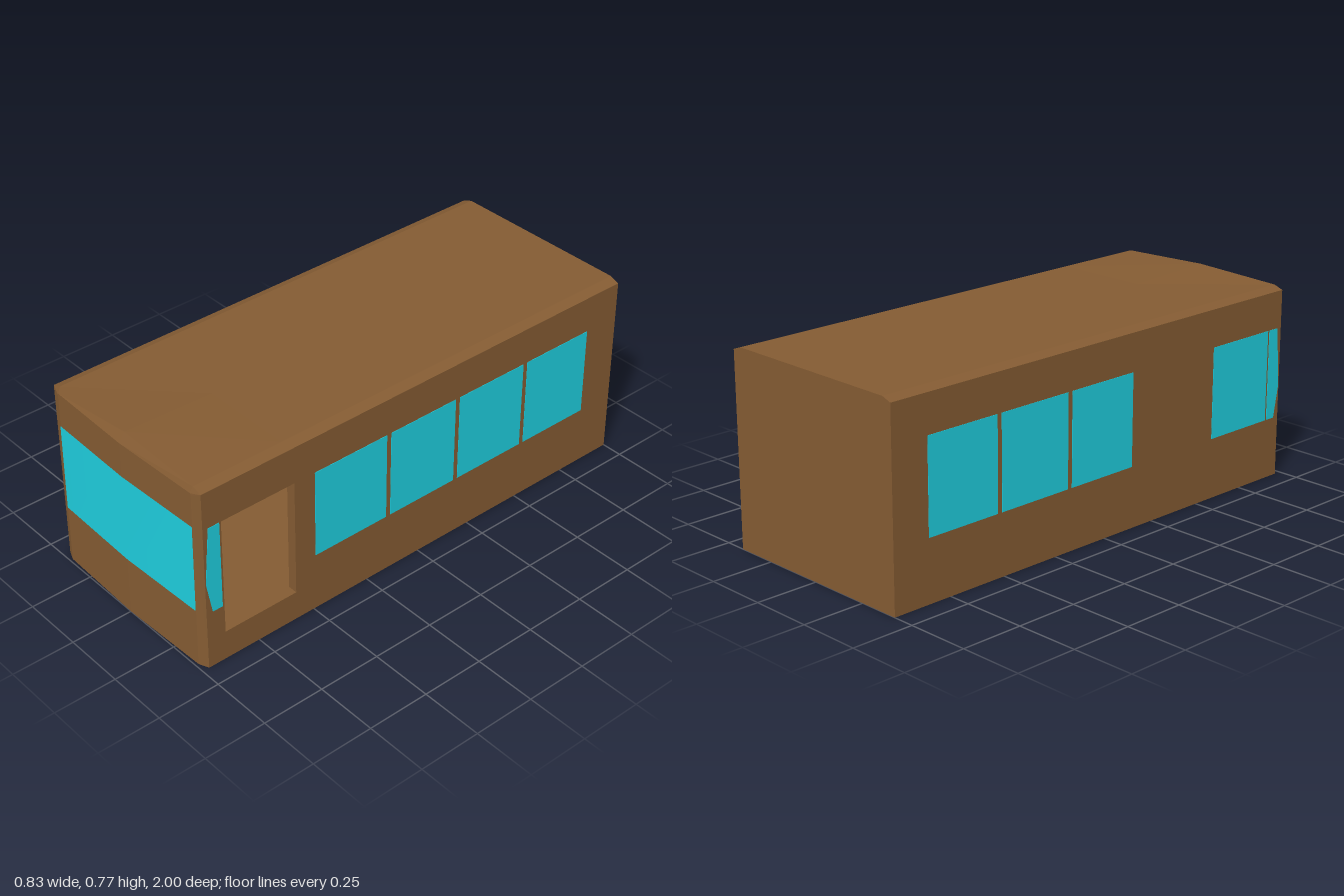
import * as THREE from 'three';

const body = new THREE.MeshStandardMaterial({ color: 0x855c33, flatShading: true });
const glass = new THREE.MeshStandardMaterial({ color: 0x1fd0e0, side: THREE.DoubleSide });
const fabric = new THREE.MeshStandardMaterial({ color: 0x1a90d8 });

const W = 0.415, IN = 0.376, WALL = W - IN, NOSE = 0.972; // half width, inner half width, nose start
const SILL = 0.24, HEAD = 0.6, FLOOR = 0.12, EAVE = 0.727;

// Front panel surface: a shallow V in plan, leaning back slightly
const frontZ = (x, y) => 1 - 0.012 * Math.abs(x) / IN - 0.005 * y / 0.738;

// Closed loft through rings of [x, y, z], each counter-clockwise seen from +z
function loft(rings) {
  const pos = [], n = rings[0].length;
  const tri = (...pts) => pts.forEach(p => pos.push(...p));
  for (let i = 0; i < rings.length - 1; i++) {
    for (let j = 0; j < n; j++) {
      const k = (j + 1) % n;
      const a = rings[i][j], b = rings[i][k], c = rings[i + 1][k], d = rings[i + 1][j];
      tri(a, b, c);
      tri(a, c, d);
    }
  }
  const first = rings[0], last = rings[rings.length - 1];
  for (let j = 1; j < n - 1; j++) {
    tri(first[0], first[j + 1], first[j]);
    tri(last[0], last[j], last[j + 1]);
  }
  const g = new THREE.BufferGeometry();
  g.setAttribute('position', new THREE.Float32BufferAttribute(pos, 3));
  g.computeVertexNormals();
  return g;
}

// Mirror a half outline: bottom centre, right side points, top centre
function ring(half, z) {
  const left = half.slice(1, -1).reverse().map(([x, y]) => [-x, y]);
  return [...half, ...left].map(([x, y]) => [x, y, typeof z === 'function' ? z(x, y) : z]);
}

function add(parent, name, geometry, material) {
  const mesh = new THREE.Mesh(geometry, material);
  mesh.name = name;
  parent.add(mesh);
  return mesh;
}

function box(parent, name, material, x0, x1, y0, y1, z0, z1) {
  const mesh = add(parent, name, new THREE.BoxGeometry(x1 - x0, y1 - y0, z1 - z0), material);
  mesh.position.set((x0 + x1) / 2, (y0 + y1) / 2, (z0 + z1) / 2);
  return mesh;
}

// Polygon drawn in (z, y), extruded through the thickness of a side wall
function sidePanel(parent, name, material, points, side, hole, swell = 0) {
  const shape = new THREE.Shape(points.map(p => new THREE.Vector2(...p)));
  if (hole) shape.holes.push(new THREE.Path(hole.map(p => new THREE.Vector2(...p))));
  const g = new THREE.ExtrudeGeometry(shape, { depth: WALL + 2 * swell, bevelEnabled: false });
  const mesh = add(parent, name, g, material);
  mesh.rotation.y = -Math.PI / 2;
  mesh.position.x = (side > 0 ? W : -IN) + swell;
}

const rect = (z0, z1, y0, y1) => [[z0, y0], [z1, y0], [z1, y1], [z0, y1]];

export function createModel() {
  const model = new THREE.Group();
  model.name = 'bus';

  // Floor and back wall
  box(model, 'floor', body, -IN, IN, 0, FLOOR, -1 + WALL, NOSE);
  box(model, 'backWall', body, -IN, IN, 0, EAVE, -1, -1 + WALL);

  // Side walls, with the doorway on the model's left (+x)
  const wall = rect(-1, NOSE, 0, EAVE);
  sidePanel(model, 'leftWall', body, wall, 1, rect(0.58, 0.895, FLOOR, HEAD));
  sidePanel(model, 'rightWall', body, wall, -1);

  // Side windows and pointed front quarter windows
  const panes = [[-0.845, -0.53], [-0.51, -0.19], [-0.17, 0.14], [0.16, 0.49], [0.58, 0.895]];
  for (const side of [1, -1]) {
    panes.forEach(([z0, z1], i) => {
      if (i === (side > 0 ? 4 : 3)) return;
      sidePanel(model, 'sideWindow', glass, rect(z0, z1, SILL, HEAD), side, null, 0.0015);
    });
    sidePanel(model, 'quarterWindow', glass,
      [[0.903, SILL], [0.945, SILL], [0.969, 0.37], [0.95, HEAD], [0.903, HEAD]], side, null, 0.0015);
  }

  // Roof with bevelled edges, its crown rising towards the front
  const roofRing = (z, crown) => ring([[0, EAVE], [W, EAVE], [W, 0.748], [IN, 0.762], [0, crown]], z);
  add(model, 'roof', loft([roofRing(-1, 0.762), roofRing(0.6, 0.762), roofRing(NOSE, 0.775)]), body);

  // Front panel with bevelled corners and top
  add(model, 'frontPanel', loft([
    ring([[0, 0], [W, 0], [W, 0.748], [IN, 0.762], [0, 0.775]], NOSE),
    ring([[0, 0], [IN, 0], [IN, 0.73], [0.374, 0.738], [0, 0.738]], frontZ),
  ]), body);

  // Windscreen following the front panel, and its inner face
  const screen = new THREE.PlaneGeometry(2 * IN, HEAD - SILL, 2, 1).translate(0, (SILL + HEAD) / 2, 0);
  const p = screen.attributes.position;
  for (let i = 0; i < p.count; i++) p.setZ(i, frontZ(p.getX(i), p.getY(i)) + 0.0015);
  screen.computeVertexNormals();
  add(model, 'windscreen', screen, glass);
  box(model, 'windscreenInside', glass, -IN, IN, SILL, HEAD, NOSE - 0.002, NOSE + 0.002);

  // Rows of seats either side of the aisle
  for (const side of [1, -1]) {
    for (let row = 0; row < 3; row++) {
      const seat = new THREE.Group();
      seat.name = 'seat';
      const x0 = side > 0 ? 0.1 : -0.37, z = 0.01 - row * 0.33;
      box(seat, 'cushion', fabric, x0, x0 + 0.27, FLOOR, 0.22, z - 0.2, z);
      box(seat, 'backrest', fabric, x0, x0 + 0.27, FLOOR, 0.42, z - 0.25, z - 0.2);
      model.add(seat);
    }
  }
  return model;
}
